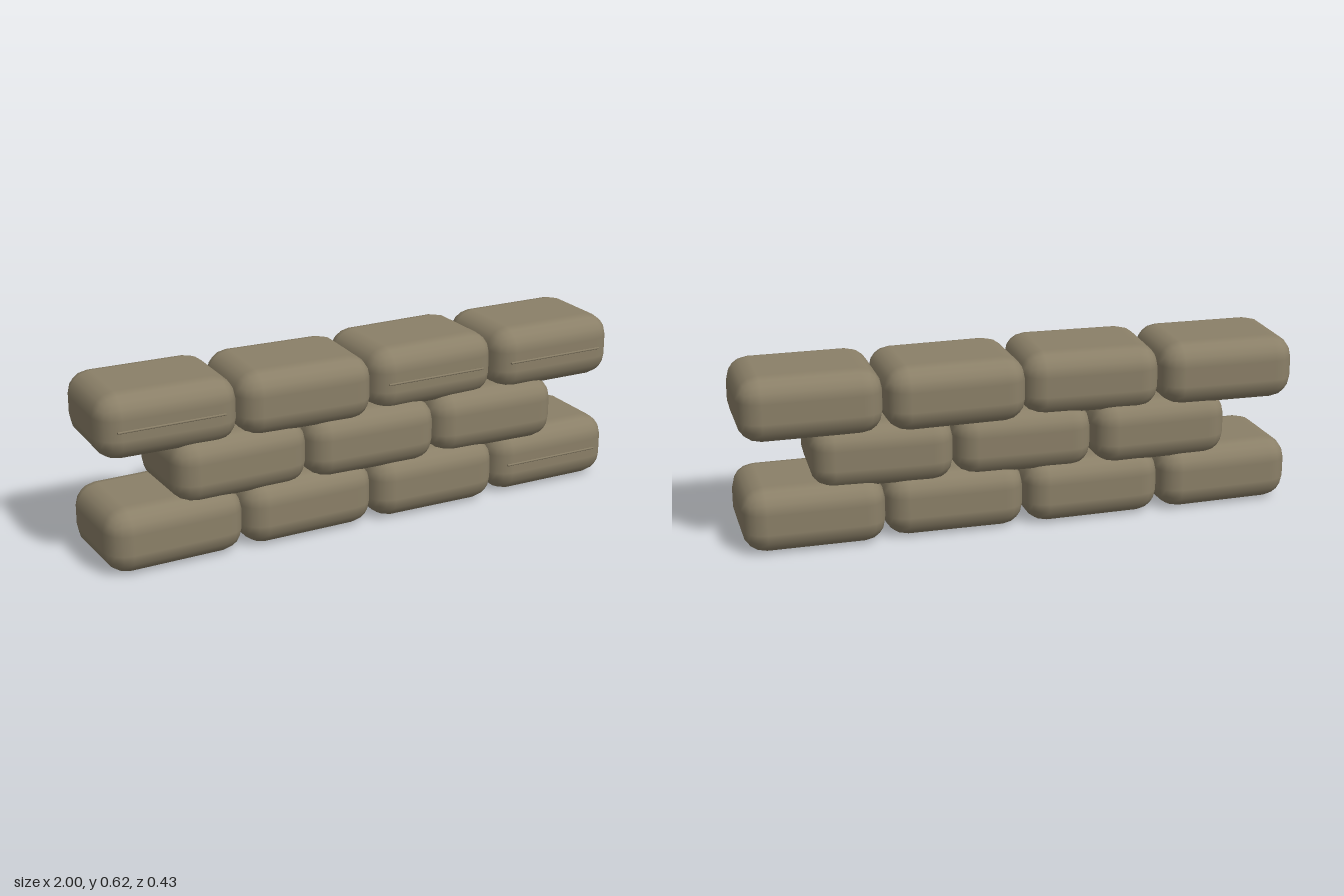
import * as THREE from 'three';
import { RoundedBoxGeometry } from 'three/addons/geometries/RoundedBoxGeometry.js';

export function createModel() {
  const group = new THREE.Group();
  group.name = 'sandbagWall';
  const burlap = new THREE.MeshStandardMaterial({ color: 0x8b8068 });
  burlap.name = 'burlap';

  const bagGeometry = new RoundedBoxGeometry(0.5, 0.23, 0.388, 2, 0.08);
  const seamGeometry = new THREE.CylinderGeometry(0.004, 0.004, 0.38, 6).rotateZ(Math.PI / 2);

  // Each bag: depth offset and slight yaw, listed from -x to +x
  const rows = [
    { name: 'bottomRow', y: 0.115, bags: [[0.01, 0.025], [0.004, 0.015], [0.008, -0.01], [-0.01, 0]] },
    { name: 'middleRow', y: 0.3125, bags: [[0, 0.02], [0.01, -0.02], [0.006, -0.035]] },
    { name: 'topRow', y: 0.51, bags: [[-0.012, -0.02], [0.006, -0.035], [-0.02, 0.025], [-0.01, 0]] },
  ];

  for (const row of rows) {
    const course = new THREE.Group();
    course.name = row.name;
    course.position.y = row.y;
    row.bags.forEach(([z, yaw], i) => {
      const x = (i - (row.bags.length - 1) / 2) * 0.499;
      // Plump bag
      const bag = new THREE.Mesh(bagGeometry, burlap);
      bag.name = 'sandbag';
      bag.position.set(x, 0, z);
      bag.rotation.y = yaw;
      // Thin stitched seam across the front, partly sunk in the cloth
      const seam = new THREE.Mesh(seamGeometry, burlap);
      seam.name = 'seam';
      seam.position.set(x - 0.005, 0, 0.184);
      course.add(bag, seam);
    });
    group.add(course);
  }
  return group;
}
